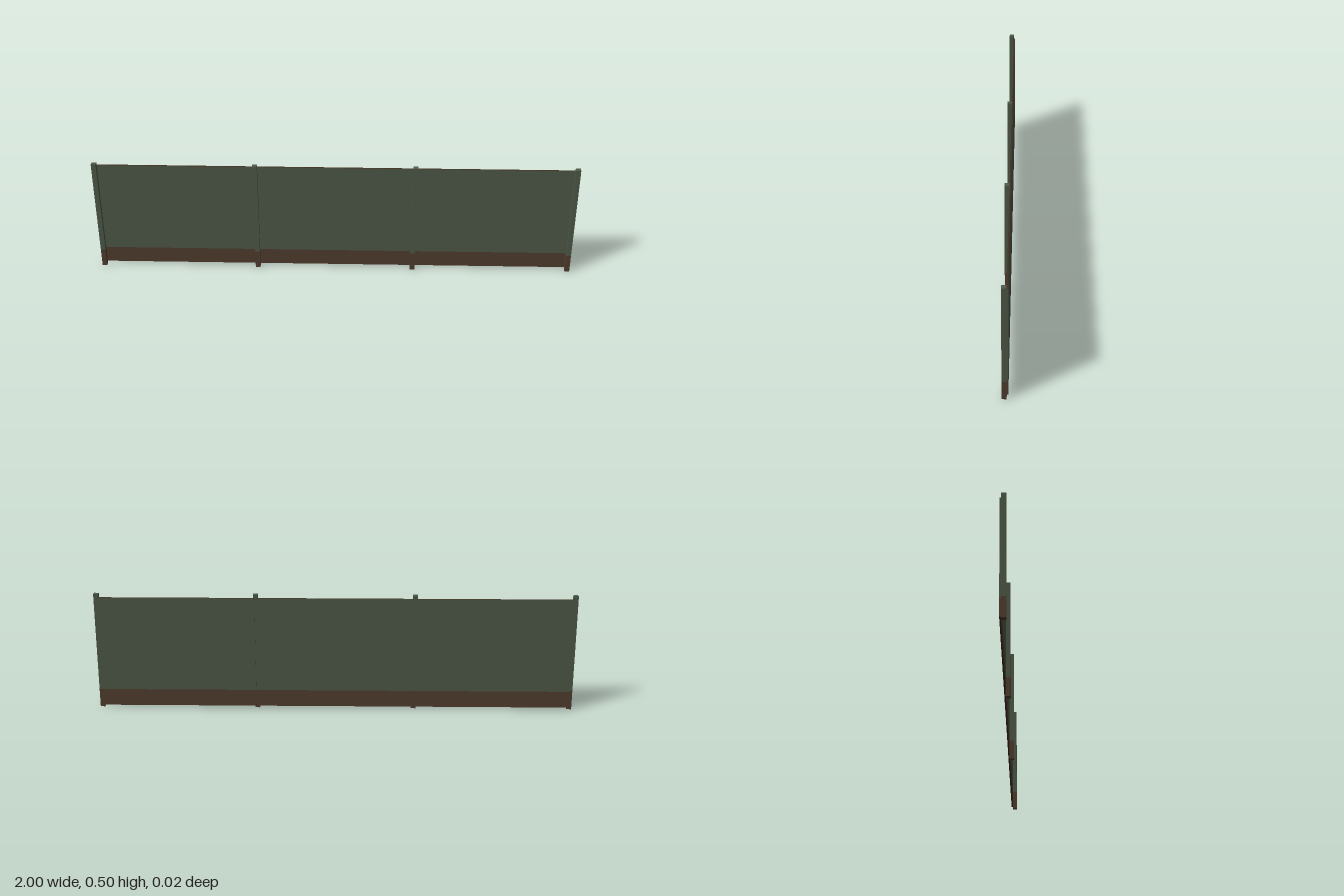
import * as THREE from 'three';

export function createModel() {
  const model = new THREE.Group();
  model.name = 'fence';

  const paint = (name, color) => {
    const m = new THREE.MeshStandardMaterial({ color });
    m.name = name;
    return m;
  };
  const green = paint('weathered green', 0x4f5b4a);
  const brown = paint('muddy brown', 0x543f31);
  const rim = paint('dark brown edge', 0x40301f);

  const bandY = 0.082; // height where the mud band ends

  // A box given by its limits, with an optional separate top or bottom material
  function slab(name, x, width, y0, y1, z0, z1, body, top = body, bottom = body) {
    const geo = new THREE.BoxGeometry(width, y1 - y0, z1 - z0);
    const mesh = new THREE.Mesh(geo, [body, body, top, bottom, body, body]);
    mesh.name = name;
    mesh.position.set(x, (y0 + y1) / 2, (z0 + z1) / 2);
    return mesh;
  }

  // Upright posts, slightly taller than the panels
  for (let i = 0; i < 4; i++) {
    const post = new THREE.Group();
    post.name = 'post';
    const x = -0.99 + i * 0.66;
    post.add(slab('postUpper', x, 0.02, bandY, 0.502, -0.0065, 0.0125, green));
    post.add(slab('postBase', x, 0.02, 0, bandY, -0.0065, 0.0125, brown));
    model.add(post);
  }

  // Thin panels fixed behind the posts with a narrow gap between them
  for (let i = -1; i <= 1; i++) {
    const panel = new THREE.Group();
    panel.name = 'panel';
    const x = i * 0.66;
    panel.add(slab('panelUpper', x, 0.652, bandY, 0.489, -0.0125, -0.0065, green, rim));
    panel.add(slab('panelBase', x, 0.652, 0.01, bandY, -0.0125, -0.0065, brown, brown, rim));
    model.add(panel);
  }
  return model;
}
